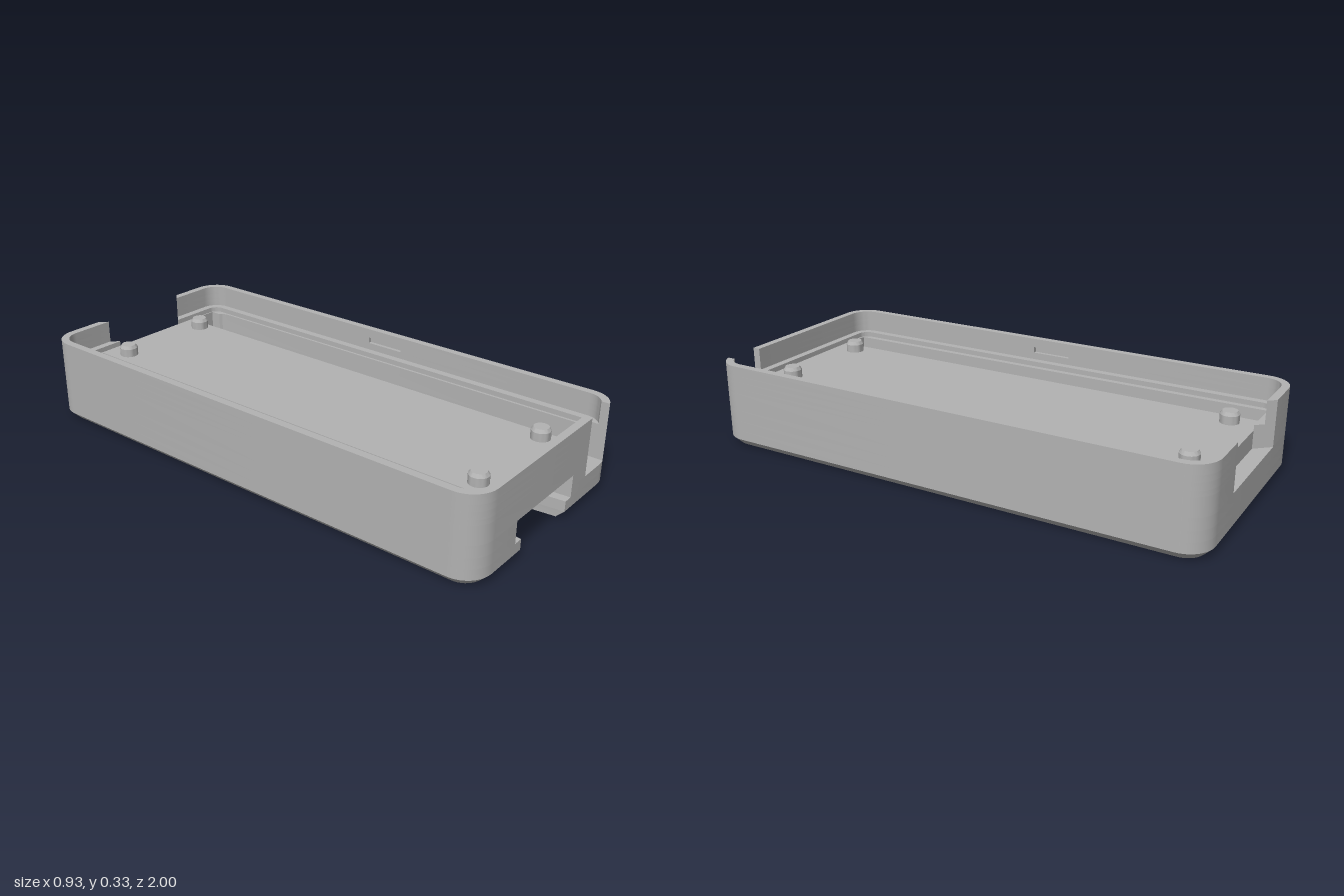
import * as THREE from 'three';
import { toCreasedNormals } from 'three/addons/utils/BufferGeometryUtils.js';

const W = 0.463, L = 1, R = 0.1;            // half width, half length, corner radius
const CX = W - R, CZ = L - R;               // corner arc centres
const FLARE = 0.9;                          // taper of the rear cable opening

// z of the rounded outline at a given x, for an inset contour
const zAt = (x, inset) => {
  const dx = Math.max(0, Math.abs(x) - CX);
  return CZ + Math.sqrt(Math.max(0, (R - inset) ** 2 - dx * dx));
};

// one long side of the rounded outline, from rear x0 to front x1, as [x, z] points
function edge(side, x0, x1, inset = 0, groove = 0) {
  const r = R - inset, pts = [[x0, -zAt(x0, inset)]], n = 10;
  const corner = (end, from, to) => {
    for (let i = 0; i <= n; i++) {
      const a = (from + (to - from) * i / n) * Math.PI / 2;
      const x = side * (CX + r * Math.cos(a));
      if (end > 0 && side * (x - x1) < 0.002) continue;
      pts.push([x, end * (CZ + r * Math.sin(a))]);
    }
  };
  corner(-1, 1, 0);
  if (groove) {
    const a = side * (CX + r), b = a + side * groove;
    pts.push([a, -0.08], [b, -0.08], [b, 0.08], [a, 0.08]);
  }
  corner(1, 0, 1);
  pts.push([x1, zAt(x1, inset)]);
  return pts;
}

const toShape = (pts) => new THREE.Shape(pts.map(([x, z]) => new THREE.Vector2(x, -z)));

export function createModel() {
  const group = new THREE.Group();
  const gray = new THREE.MeshStandardMaterial({ color: 0xb2b2b2 });
  gray.name = 'gray plastic';

  const add = (name, geo) => {
    const mesh = new THREE.Mesh(geo, gray);
    mesh.name = name;
    group.add(mesh);
    return mesh;
  };

  // horizontal slab of the case between two heights
  function layer(name, y0, y1, shapes, chamfer = 0) {
    const geo = new THREE.ExtrudeGeometry(shapes, { depth: y1 - y0, bevelEnabled: false });
    geo.rotateX(-Math.PI / 2);
    if (chamfer) {
      // pull the bottom rim inward
      const p = geo.attributes.position, k = 1 - chamfer / R;
      for (let i = 0; i < p.count; i++) {
        if (p.getY(i) > 1e-4) continue;
        const x = p.getX(i), z = p.getZ(i);
        const cx = THREE.MathUtils.clamp(x, -CX, CX), cz = THREE.MathUtils.clamp(z, -CZ, CZ);
        p.setX(i, cx + (x - cx) * k);
        p.setZ(i, cz + (z - cz) * k);
      }
    }
    geo.translate(0, y0, 0);
    return add(name, toCreasedNormals(geo, 0.5));
  }

  // T-slot sections, slightly flared at the mouth
  const slot = (a, b, flare) => [
    [a, L], [a + flare, 0.83], [a + flare, 0.27], [b - flare, 0.27], [b - flare, 0.83], [b, L]];
  const narrow = slot(-0.187, 0.114, 0.015);
  const wide = slot(-0.225, 0.15, 0.01);

  // right channel, open at the front, with an optional pocket at its rear end
  const C0 = 0.248, C1 = 0.393;
  const channel = (pocket) => [
    [C0, L], [C0, -0.86], [0.256, -0.882], [0.265, -0.89],
    ...(pocket ? [[0.265, -0.935], [0.375, -0.935]] : []),
    [0.375, -0.89], [0.386, -0.882], [C1, -0.86], [C1, zAt(C1, 0)]];

  // left channel, closed at both ends
  const leftChannel = () => new THREE.Path(
    [[-0.38, -0.93], [-0.265, -0.93], [-0.265, 0.93], [-0.38, 0.93]]
      .map(([x, z]) => new THREE.Vector2(x, -z)));

  // full slab outline with front cuts and an optional rear notch
  function slab(cuts, notch = false) {
    const b = notch ? 0.22 : 0.1, i = 0.06;
    const pts = [
      ...edge(-1, -b, cuts[0][0]), ...cuts.slice(1, -1),
      ...edge(1, b, cuts[cuts.length - 1][0]).reverse()];
    if (notch) pts.push([b - FLARE * i, -L + i], [-b + FLARE * i, -L + i]);
    return toShape(pts);
  }

  layer('chamferedBase', 0, 0.03, slab(narrow), 0.03);
  layer('lowerBase', 0.03, 0.07, slab(narrow));
  layer('slotBase', 0.07, 0.11, slab(wide));

  const lowerFloor = slab([...wide, ...channel(false)]);
  lowerFloor.holes.push(leftChannel());
  layer('channelFloor', 0.11, 0.155, lowerFloor);

  const platform = slab(channel(true), true);
  platform.holes.push(leftChannel());
  layer('platform', 0.155, 0.225, platform);

  // perimeter walls in two pieces, broken by the front and rear openings
  function wall(name, y0, y1, inset, groove = 0) {
    const b = 0.22, bi = b - FLARE * inset;
    layer(name, y0, y1, [[-1, C0], [1, C1]].map(([s, front]) => toShape([
      ...edge(s, s * b, front),
      ...edge(s, s * bi, front, inset, groove).reverse()])));
  }
  wall('lidLedge', 0.225, 0.245, 0.06);
  wall('lowerRim', 0.245, 0.273, 0.03);
  wall('latchGrooveRim', 0.273, 0.297, 0.03, 0.015);
  wall('upperRim', 0.297, 0.333, 0.03);

  // locating pins
  const profile = [[0.036, 0.225], [0.036, 0.257], [0.028, 0.27], [0, 0.27]]
    .map(([r, y]) => new THREE.Vector2(r, y));
  const pin = toCreasedNormals(new THREE.LatheGeometry(profile, 28), 0.5);
  for (const x of [-0.203, 0.203])
    for (const z of [-0.84, 0.84]) add('locatingPin', pin).position.set(x, 0, z);

  // detent bumps inside the T-slot
  for (const x of [-0.208, 0.133])
    add('slotDetent', new THREE.BoxGeometry(0.022, 0.065, 0.06)).position.set(x, 0.1125, 0.86);

  return group;
}
